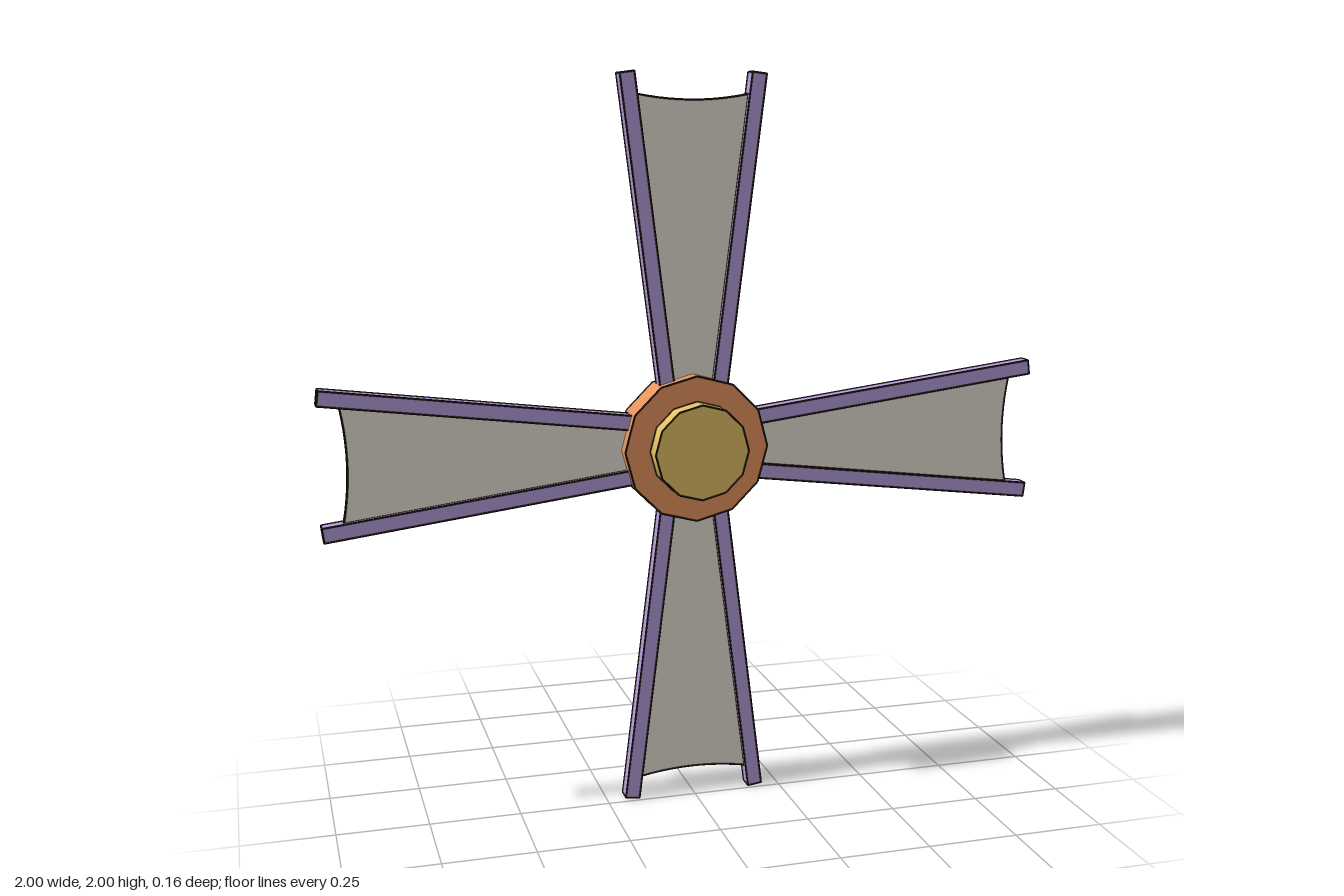
import * as THREE from 'three';
import { mergeGeometries } from 'three/addons/utils/BufferGeometryUtils.js';

const mat = (name, color) => {
  const m = new THREE.MeshStandardMaterial({ color });
  m.name = name;
  return m;
};

// Thin square rods along every sharp edge of a geometry
function edgeTrim(geometry, radius = 0.0025) {
  const p = new THREE.EdgesGeometry(geometry, 40).attributes.position;
  const up = new THREE.Vector3(0, 1, 0);
  const rods = [];
  for (let i = 0; i < p.count; i += 2) {
    const a = new THREE.Vector3().fromBufferAttribute(p, i);
    const b = new THREE.Vector3().fromBufferAttribute(p, i + 1);
    const dir = b.clone().sub(a), length = dir.length();
    const rod = new THREE.CylinderGeometry(radius, radius, length, 4);
    rod.applyQuaternion(new THREE.Quaternion().setFromUnitVectors(up, dir.normalize()));
    const mid = a.add(b).multiplyScalar(0.5);
    rods.push(rod.translate(mid.x, mid.y, mid.z));
  }
  return mergeGeometries(rods);
}

export function createModel() {
  const terracotta = mat('terracotta', 0xe8965e);
  const ochre = mat('ochre', 0xe6c064);
  const lilac = mat('lilac', 0xb59cdb);
  const canvas = mat('canvas', 0xe6e2d4);
  const darkTrim = mat('darkTrim', 0x2e241c);

  const model = new THREE.Group();
  model.name = 'windmillRotor';

  // A part and its dark edge trim, grouped under one name
  const add = (parent, name, geometry, material, trim) => {
    const part = new THREE.Group();
    part.name = name;
    const body = new THREE.Mesh(geometry, material);
    body.name = name + 'Body';
    const edges = new THREE.Mesh(trim, darkTrim);
    edges.name = name + 'Trim';
    part.add(body, edges);
    parent.add(part);
    return part;
  };

  // Twelve-sided discs facing the front
  const disc = (name, radius, back, front, material) => {
    const g = new THREE.CylinderGeometry(radius, radius, front - back, 12);
    g.rotateX(Math.PI / 2);
    add(model, name, g, material, edgeTrim(g)).position.set(0, 1, (front + back) / 2);
  };
  disc('hub', 0.2, -0.075, 0.02, terracotta);
  disc('hubCap', 0.13, 0.02, 0.075, ochre);

  // One blade: two diverging spars with a thin sail between them
  const bladeZ = -0.029, sparWidth = 0.04;
  const inner = new THREE.Vector2(0.066, 0.1), tip = new THREE.Vector2(0.18, 0.997);
  const along = tip.clone().sub(inner);
  const sparGeometry = new THREE.BoxGeometry(sparWidth, along.length(), sparWidth);
  const sparTrim = edgeTrim(sparGeometry);

  const sailShape = new THREE.Shape();
  sailShape.moveTo(-0.047, 0.1);
  sailShape.lineTo(0.047, 0.1);
  sailShape.lineTo(0.154, 0.942);
  sailShape.quadraticCurveTo(0, 0.912, -0.154, 0.942);
  sailShape.closePath();
  const sailDepth = 0.01;
  const sailGeometry = new THREE.ExtrudeGeometry(sailShape, {
    depth: sailDepth, bevelEnabled: false, curveSegments: 10,
  });
  sailGeometry.translate(0, 0, -sailDepth / 2);
  const sailTrim = edgeTrim(sailGeometry);

  for (let i = 0; i < 4; i++) {
    const blade = new THREE.Group();
    blade.name = 'blade' + (i + 1);
    blade.position.set(0, 1, bladeZ);
    blade.rotation.z = i * Math.PI / 2;
    for (const side of [-1, 1]) {
      const spar = add(blade, side > 0 ? 'sparA' : 'sparB', sparGeometry, lilac, sparTrim);
      spar.position.set(side * (inner.x + tip.x) / 2, (inner.y + tip.y) / 2, 0);
      spar.rotation.z = -side * Math.atan2(along.x, along.y);
    }
    add(blade, 'sail', sailGeometry, canvas, sailTrim);
    model.add(blade);
  }
  return model;
}
